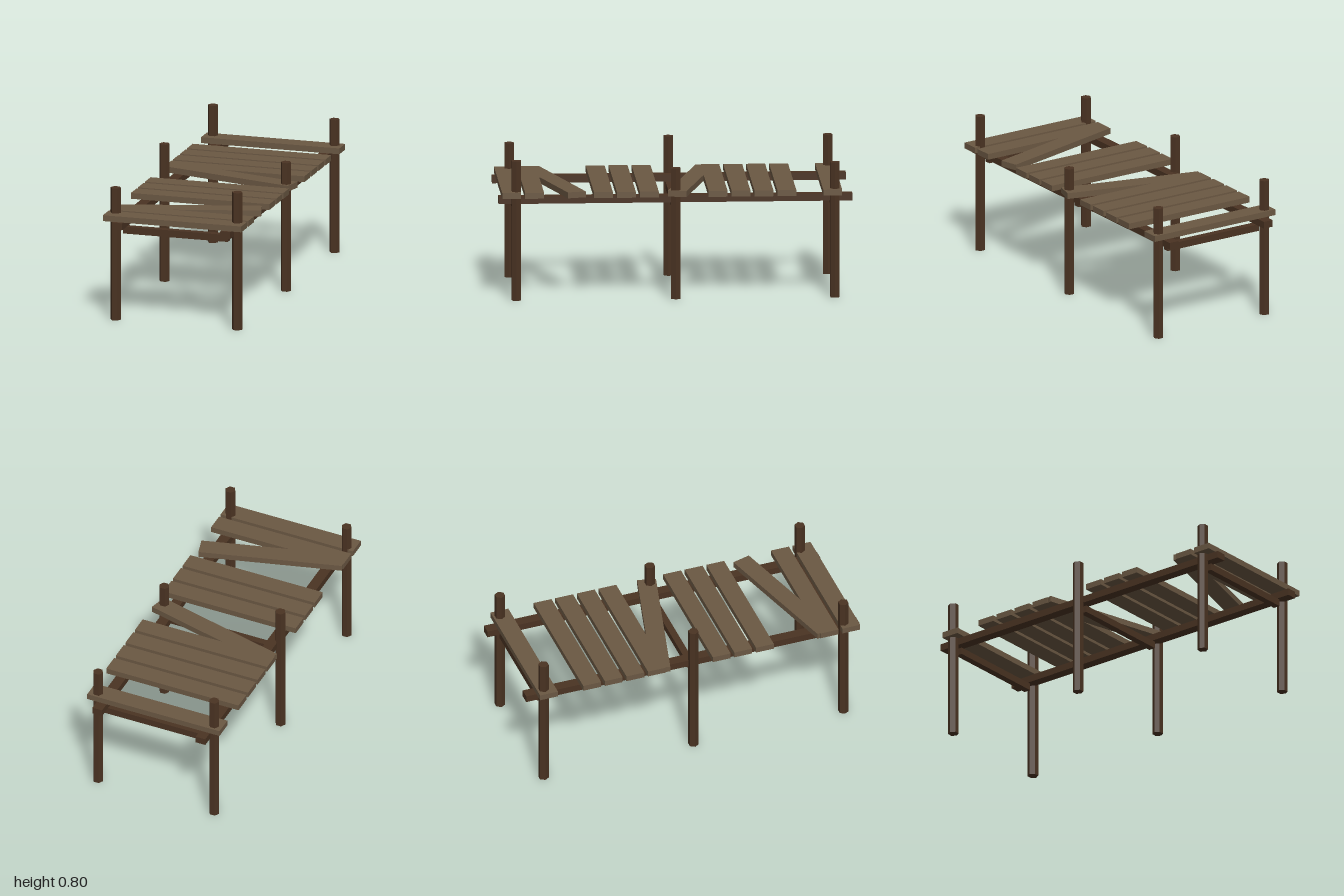
import * as THREE from 'three';

export function createModel() {
  const dock = new THREE.Group();
  dock.name = 'dock';

  const plankWood = new THREE.MeshStandardMaterial({ color: 0x6b5843 });
  plankWood.name = 'weathered plank wood';
  const frameWood = new THREE.MeshStandardMaterial({ color: 0x4a3322 });
  frameWood.name = 'dark frame wood';

  const add = (name, geometry, material, x, y, z, turn = 0) => {
    const mesh = new THREE.Mesh(geometry, material);
    mesh.name = name;
    mesh.position.set(x, y, z);
    mesh.rotation.y = turn;
    dock.add(mesh);
  };

  // Hexagonal posts, flat sides to front and back, uneven heights
  const posts = [
    [0.36, 0.9, 0.8], [0.36, 0, 0.75], [0.36, -0.9, 0.775],
    [-0.36, 0.9, 0.77], [-0.36, 0, 0.8], [-0.36, -0.9, 0.8],
  ];
  for (const [x, z, height] of posts) {
    const geometry = new THREE.CylinderGeometry(0.03, 0.03, height, 6).rotateY(Math.PI / 6).toNonIndexed();
    geometry.computeVertexNormals();
    add('post', geometry, frameWood, x, height / 2, z);
  }

  // Long rails under the deck
  for (const side of [-1, 1]) {
    add('rail', new THREE.BoxGeometry(0.06, 0.04, 2), frameWood, side * 0.32, 0.57, 0);
  }

  // Cross beams under the rails, one per pair of posts
  for (const z of [-0.9, 0, 0.9]) {
    add('crossBeam', new THREE.BoxGeometry(0.62, 0.04, 0.04), frameWood, 0, 0.53, z);
  }

  // Deck planks on an even pitch: some are missing, two have slipped askew
  const plank = new THREE.BoxGeometry(0.82, 0.034, 0.107);
  const missing = [1, 7, 11];
  const askew = { 6: -0.25, 12: 0.27 };
  for (let i = 0; i < 15; i++) {
    if (missing.includes(i)) continue;
    add('plank', plank, plankWood, 0, 0.607, -0.885 + i * 0.1296, askew[i] ?? 0);
  }

  return dock;
}
